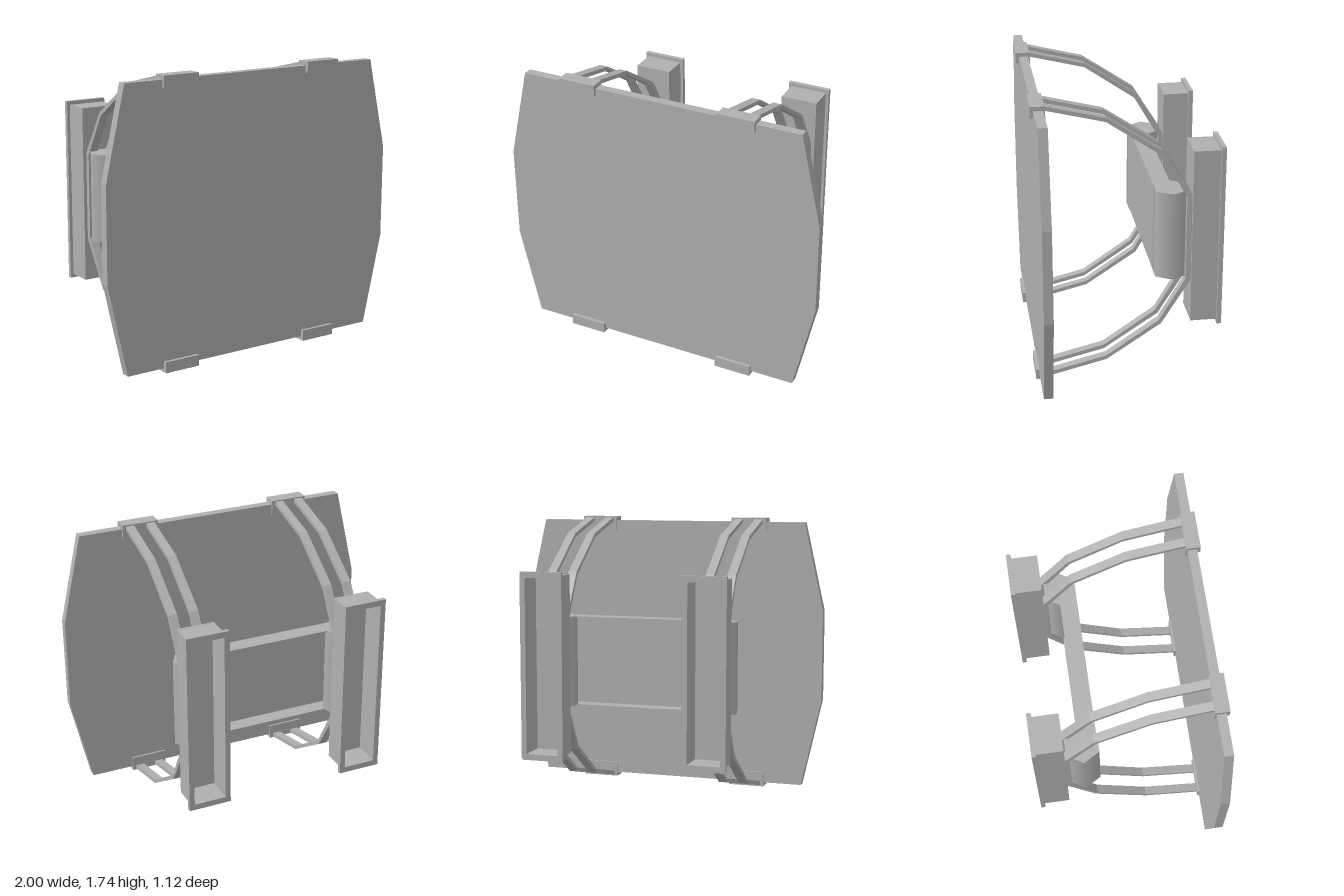
import * as THREE from 'three';

const MID = 0.8675; // height of the horizontal symmetry plane

export function createModel() {
  const root = new THREE.Group();
  root.name = 'mountedShield';
  const grey = new THREE.MeshStandardMaterial({ color: 0xb0b0b0 });
  grey.name = 'plain grey';

  const add = (parent, name, geometry) => {
    const mesh = new THREE.Mesh(geometry, grey);
    mesh.name = name;
    parent.add(mesh);
    return mesh;
  };
  // Box given by its limits on each axis
  const box = (parent, name, x0, x1, y0, y1, z0, z1) => {
    const mesh = add(parent, name, new THREE.BoxGeometry(x1 - x0, y1 - y0, z1 - z0));
    mesh.position.set((x0 + x1) / 2, (y0 + y1) / 2, (z0 + z1) / 2);
  };
  const shapeOf = (points) => new THREE.Shape(points.map(([a, b]) => new THREE.Vector2(a, b)));
  const flip = (points) => points.map(([a, b]) => [a, 2 * MID - b]).reverse();
  // Rectangular ring, centred on x = 0 and the middle height
  const frame = (w, h, innerW, innerH, depth) => {
    const rect = (a, b) => [[-a, -b], [a, -b], [a, b], [-a, b]];
    const shape = shapeOf(rect(w / 2, h / 2));
    shape.holes.push(shapeOf(rect(innerW / 2, innerH / 2)));
    return new THREE.ExtrudeGeometry(shape, { depth, bevelEnabled: false });
  };

  // Large front plate with tapered sides
  const plate = shapeOf([
    [-0.875, 0.025], [0.875, 0.025], [1, 0.585], [1, 1.155],
    [0.875, 1.71], [-0.875, 1.71], [-1, 1.155], [-1, 0.585],
  ]);
  add(root, 'frontPlate', new THREE.ExtrudeGeometry(plate, { depth: 0.055, bevelEnabled: false }))
    .position.z = 0.485;

  // Bent strut profile, drawn in z and y
  const outer = [[0.478, 1.728], [0.13, 1.642], [-0.2, 1.422], [-0.375, 1.14]];
  const inner = [[0.478, 1.703], [0.13, 1.617], [-0.187, 1.4], [-0.345, 1.13]];
  const strutShape = shapeOf([
    ...outer, ...flip(outer), ...flip(inner).reverse(), ...inner.slice().reverse(),
  ]);
  const strutGeometry = new THREE.ExtrudeGeometry(strutShape, { depth: 0.053, bevelEnabled: false });
  strutGeometry.rotateY(-Math.PI / 2).translate(0.0265, 0, 0);

  for (const [side, cx, padX, padR] of [['right', -0.516, -0.525, 0.115], ['left', 0.488, 0.478, 0.11]]) {
    const mount = new THREE.Group();
    mount.name = side + 'Mount';
    root.add(mount);

    // Pair of struts
    for (const dx of [-0.066, 0.066]) add(mount, 'strut', strutGeometry).position.x = cx + dx;

    // Clips gripping the plate at top and bottom
    const clip = (name, y0, y1, z0, z1) => {
      box(mount, name + 'Top', cx - 0.115, cx + 0.115, y0, y1, z0, z1);
      box(mount, name + 'Bottom', cx - 0.115, cx + 0.115, 2 * MID - y1, 2 * MID - y0, z0, z1);
    };
    clip('clipCap', 1.71, 1.735, 0.475, 0.56);
    clip('clipFrontLip', 1.668, 1.71, 0.54, 0.56);
    clip('clipBackLip', 1.64, 1.71, 0.473, 0.485);

    // Rear channel, open to the back, with a wider rim
    add(mount, 'channelWalls', frame(0.228, 1.09, 0.2, 1.062, 0.165)).position.set(cx, MID + 0.007, -0.54);
    box(mount, 'channelFloor', cx - 0.114, cx + 0.114, 0.33, 1.42, -0.389, -0.375);
    add(mount, 'channelRim', frame(0.265, 1.135, 0.2, 1.062, 0.027)).position.set(cx, MID + 0.007, -0.56);

    // Smooth six-sided pad at the end of the crossbar
    const pad = new THREE.CylinderGeometry(padR, padR, 0.55, 6, 1, false, Math.PI / 6);
    add(mount, 'pad', pad).position.set(padX, 0.88, -0.265);
  }

  // Crossbar: shallow trough open to the back
  box(root, 'crossbarWall', -0.53, 0.48, 0.605, 1.155, -0.18, -0.17);
  for (const y of [0.605, 1.147]) box(root, 'crossbarFlange', -0.53, 0.48, y, y + 0.008, -0.275, -0.18);

  return root;
}
